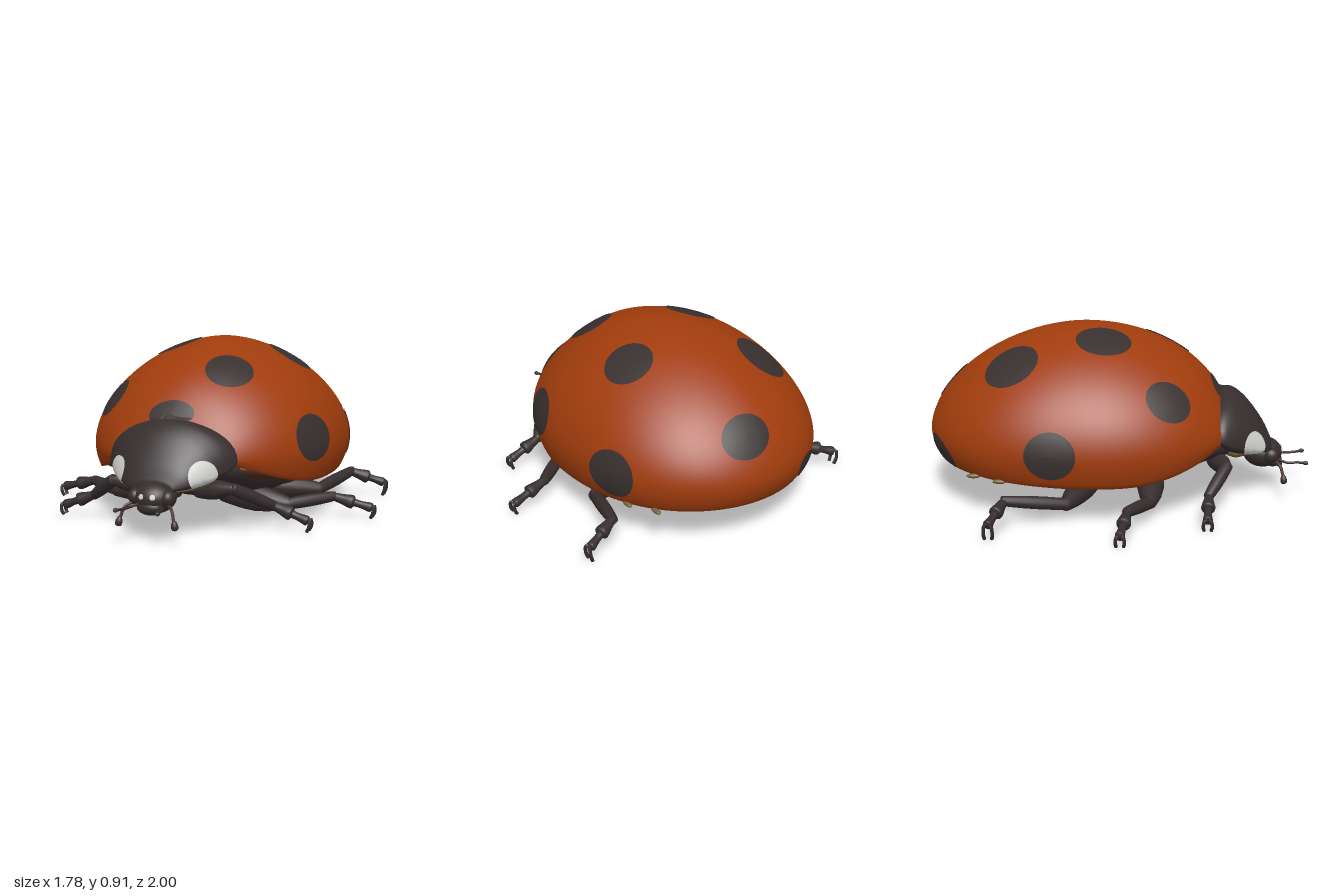
import * as THREE from 'three';

const V = (x, y, z) => new THREE.Vector3(x, y, z);
const mat = (name, color, side = THREE.FrontSide) => {
  const m = new THREE.MeshStandardMaterial({ color, side });
  m.name = name;
  return m;
};

// Skin a list of equal-length rings, ordered from back to front
function skin(rings, closed) {
  const n = rings[0].length, pos = [], idx = [];
  rings.forEach(r => r.forEach(p => pos.push(p.x, p.y, p.z)));
  for (let i = 0; i < rings.length - 1; i++) {
    for (let j = 0; j < (closed ? n : n - 1); j++) {
      const a = i * n + j, b = i * n + (j + 1) % n;
      idx.push(a, b, a + n, b, b + n, a + n);
    }
  }
  const g = new THREE.BufferGeometry();
  g.setAttribute('position', new THREE.Float32BufferAttribute(pos, 3));
  g.setIndex(idx);
  g.computeVertexNormals();
  return g;
}

// Closed oval loft from [z, halfWidth, top, bottom] stations, smoothed along z;
// mid is the height fraction of the widest line
function loft(stations, steps = 0, mid = 0.5) {
  let s = stations;
  if (steps) {
    const a = new THREE.CatmullRomCurve3(s.map(q => V(q[0], q[1], q[2])));
    const b = new THREE.CatmullRomCurve3(s.map(q => V(q[0], q[1], q[3])));
    s = Array.from({ length: steps + 1 }, (_, i) => {
      const p = a.getPoint(i / steps), q = b.getPoint(i / steps);
      return [p.x, p.y, p.z, q.z];
    });
  }
  const oval = ([z, w, t, b], k = 1) => Array.from({ length: 40 }, (_, i) => {
    const a = i / 40 * Math.PI * 2, c = b + mid * (t - b), sin = Math.sin(a);
    return V(k * w * Math.cos(a), c + k * sin * (sin > 0 ? t - c : c - b), z);
  });
  return skin([oval(s[0], 0.001), ...s.map(q => oval(q)), oval(s[s.length - 1], 0.001)], true);
}

// Shell dimensions along z
const MID = 0.36;
const halfWidth = z => z < -0.15
  ? 0.66 * Math.sqrt(Math.max(0, 1 - Math.pow((-0.15 - z) / 0.85, 2.4)))
  : 0.66 * Math.sqrt(1 - ((z + 0.15) / 0.785) ** 2);
const crown = z => MID + 0.55 * (z < -0.18
  ? Math.pow(Math.max(0, 1 - Math.pow((-0.18 - z) / 0.82, 1.82)), 0.588)
  : Math.sqrt(1 - ((z + 0.18) / 0.76) ** 2));
const rim = z => 0.205 + 0.135 * Math.pow(Math.max(0, z) / 0.53, 2.2) + 0.025 * Math.max(0, -0.2 - z) / 0.8;

function shellGeometry() {
  const rings = [];
  for (let i = 0; i <= 80; i++) {
    const z = -1 + 1.53 * (1 - Math.cos(i / 80 * Math.PI / 2));
    const w = halfWidth(z), h = crown(z) - MID, ring = [];
    const side = (k, y, s) => ring.push(V(s * w * k, y, z < -0.2 ? -0.2 + (z + 0.2) * k : z));
    const wall = (q, s) => side(1 - 0.06 * q * q, MID - (MID - rim(z)) * q, s);
    side(0.85, rim(z) + 0.012, 1);
    for (let q = 6; q > 0; q--) wall(q / 6, 1);
    for (let j = 0; j <= 56; j++) {
      const a = j / 56 * Math.PI, c = Math.cos(a);
      ring.push(V(Math.sign(c) * w * Math.pow(Math.abs(c), 1.11), MID + h * Math.pow(Math.abs(Math.sin(a)), 1.11), z));
    }
    for (let q = 1; q <= 6; q++) wall(q / 6, -1);
    side(0.85, rim(z) + 0.012, -1);
    rings.push(ring);
  }
  return skin(rings, false);
}

// Thin oval patch projected onto a mesh, seen from an inner point
function patch(target, c, inner, rx, rz) {
  const cast = p => {
    const d = p.clone().sub(inner).normalize();
    const ray = new THREE.Raycaster(p.clone().addScaledVector(d, 0.5), d.clone().negate());
    const hit = ray.intersectObject(target)[0];
    return { p: (hit ? hit.point.clone() : p.clone()).addScaledVector(d, 0.005), n: hit ? hit.face.normal.clone() : d };
  };
  const { p, n } = cast(c);
  const v = V(0, 0, 1).addScaledVector(n, -n.z).normalize(), u = v.clone().cross(n);
  const rings = [];
  for (let i = 5; i >= 0; i--) {
    const k = Math.max(i / 5, 0.002);
    rings.push(Array.from({ length: 28 }, (_, j) => {
      const a = j / 28 * Math.PI * 2;
      return cast(p.clone().addScaledVector(u, k * rx * Math.cos(a)).addScaledVector(v, k * rz * Math.sin(a))).p;
    }));
  }
  return skin(rings, true);
}

// Rounded limb between two points with start, middle and end radius
function limb(a, b, r0, r1, r2) {
  const d = b.clone().sub(a), L = d.length();
  const prof = [[0, -r0 * 0.6], [r0 * 0.7, -r0 * 0.35], [r0, 0], [r1, L * 0.5], [r2, L], [r2 * 0.7, L + r2 * 0.35], [0, L + r2 * 0.6]];
  const curve = new THREE.SplineCurve(prof.map(q => new THREE.Vector2(...q)));
  const pts = curve.getPoints(18).map(q => new THREE.Vector2(Math.max(0, q.x), q.y));
  const g = new THREE.LatheGeometry(pts, 14);
  g.applyQuaternion(new THREE.Quaternion().setFromUnitVectors(V(0, 1, 0), d.normalize()));
  return g.translate(a.x, a.y, a.z);
}

export function createModel() {
  const model = new THREE.Group();
  model.name = 'ladybird';
  const orange = mat('shell orange', 0xa03c0c, THREE.DoubleSide);
  const spotBlack = mat('spot black', 0x38302f, THREE.DoubleSide);
  const dark = mat('body black', 0x362d2e);
  const brown = mat('under shell brown', 0x502c26);
  const white = mat('patch white', 0xd2d2d0, THREE.DoubleSide);
  const tan = mat('collar tan', 0x74613a);
  const add = (name, geo, m, parent = model) => {
    const mesh = new THREE.Mesh(geo, m);
    mesh.name = name;
    parent.add(mesh);
    return mesh;
  };
  const ball = (name, x, y, z, sx, sy, sz, m) =>
    add(name, new THREE.SphereGeometry(1, 28, 20).scale(sx, sy, sz).translate(x, y, z), m);

  // Wing cases and their spots
  const shell = add('shell', shellGeometry(), orange);
  [[0.085, 0.58, -0.9, 0.135, 0.112], [-0.325, 0.77, -0.545, 0.15, 0.15], [0.345, 0.81, -0.296, 0.13, 0.13],
    [-0.22, 0.87, -0.075, 0.13, 0.145], [-0.465, 0.615, 0.26, 0.115, 0.125], [0.195, 0.78, 0.255, 0.125, 0.135],
    [-0.02, 0.59, 0.525, 0.125, 0.075], [0.64, 0.375, -0.53, 0.128, 0.135], [0.6, 0.435, 0.13, 0.125, 0.145],
    [-0.645, 0.38, -0.32, 0.125, 0.13], [-0.33, 0.295, -0.91, 0.075, 0.13],
  ].forEach(([x, y, z, rx, rz]) =>
    add('spot', patch(shell, V(x, y, z), V(0, 0.34, z * 0.7), rx, rz), spotBlack));

  // Underside: brown margin, ribbed abdomen and chest
  add('underShell', loft(Array.from({ length: 41 }, (_, i) => {
    const z = -0.89 + (1 - Math.cos(i / 40 * Math.PI / 2)) * 1.31;
    const zs = z < -0.2 ? -0.2 + (z + 0.2) / 0.88 : z;
    return [z, halfWidth(zs) * 0.88, rim(z) + 0.05, rim(z) - 0.025];
  })), brown);
  const ribs = [];
  for (let i = 0; i < 7; i++) {
    const z0 = -0.82 + i * 0.12, low = 0.188 - i * 0.011;
    ribs.push([z0, halfWidth(z0) * 0.7, 0.28, low - 0.009], [z0 + 0.105, halfWidth(z0 + 0.105) * 0.74, 0.28, low - 0.002]);
  }
  add('abdomen', loft(ribs), dark);
  add('chest', loft([[-0.2, 0.3, 0.3, 0.15], [-0.08, 0.42, 0.32, 0.09], [0.1, 0.42, 0.34, 0.085],
    [0.3, 0.36, 0.38, 0.13], [0.45, 0.3, 0.4, 0.19], [0.58, 0.22, 0.4, 0.22]], 30), dark);

  // Neck shield with pale side patches
  const shield = add('neckShield', loft([[0.49, 0.32, 0.53, 0.32], [0.54, 0.335, 0.553, 0.285], [0.59, 0.315, 0.558, 0.25],
    [0.65, 0.275, 0.522, 0.235], [0.71, 0.225, 0.455, 0.23], [0.77, 0.165, 0.365, 0.235], [0.805, 0.1, 0.29, 0.24]], 36, 0.27), dark);
  for (const s of [1, -1])
    add('palePatch', patch(shield, V(s * 0.22, 0.31, 0.705), V(0, 0.318, 0.55), 0.08, 0.08), white);
  add('collar', loft([[0.56, 0.18, 0.32, 0.216], [0.61, 0.215, 0.32, 0.207], [0.67, 0.18, 0.32, 0.212]], 10), tan);

  // Small pale tabs along the rear shell rim
  for (const s of [1, -1])
    for (const z of [-0.58, -0.72])
      ball('rimTab', s * halfWidth(z) * 0.93, rim(z), z, 0.014, 0.012, 0.035, tan);

  // Head, eyes and forehead marks
  const head = ball('head', 0, 0.21, 0.765, 0.105, 0.08, 0.105, dark);
  ball('muzzle', 0, 0.17, 0.82, 0.07, 0.04, 0.05, dark);
  for (const s of [1, -1]) {
    ball('eye', s * 0.085, 0.215, 0.805, 0.036, 0.04, 0.042, dark);
    add('foreheadMark', patch(head, V(s * 0.027, 0.225, 0.86), V(0, 0.21, 0.765), 0.014, 0.014), white);

    // Antennae and feelers
    const stalk = new THREE.CatmullRomCurve3([V(s * 0.055, 0.185, 0.84), V(s * 0.085, 0.175, 0.89), V(s * 0.09, 0.178, 0.945), V(s * 0.105, 0.18, 0.985)]);
    add('antenna', new THREE.TubeGeometry(stalk, 16, 0.007, 8), dark);
    ball('antennaTip', s * 0.107, 0.18, 0.986, 0.011, 0.011, 0.014, dark);
    const feeler = new THREE.CatmullRomCurve3([V(s * 0.085, 0.19, 0.82), V(s * 0.12, 0.17, 0.85), V(s * 0.14, 0.11, 0.87)]);
    add('feeler', new THREE.TubeGeometry(feeler, 14, 0.008, 8), brown);
    add('feelerTip', limb(V(s * 0.14, 0.12, 0.868), V(s * 0.146, 0.085, 0.872), 0.01, 0.017, 0.016), dark);
  }

  // Legs: hip, knee, ankle, foot; each side's feet are posed a little differently
  const legs = [
    ['frontLeg', [0.12, 0.2, 0.5], [0.32, 0.23, 0.56], [0.47, 0.125, 0.385], [0.64, 0.06, 0.375], 0.05, 0.08],
    ['middleLeg', [0.14, 0.13, 0.17], [0.48, 0.09, 0.17], [0.67, 0.11, 0], [0.86, 0.06, -0.03], 0.07, 0.06],
    ['rearLeg', [0.14, 0.13, -0.12], [0.52, 0.09, -0.25], [0.62, 0.14, -0.55], [0.785, 0.08, -0.61], 0.07, 0],
  ];
  for (const s of [1, -1]) {
    for (const [name, h, k, a, f, r, shift] of legs) {
      const leg = new THREE.Group();
      leg.name = name;
      model.add(leg);
      const dz = s < 0 ? shift : 0;
      const P = (p, d) => V(s * p[0], p[1], p[2] + d);
      const hip = P(h, 0), knee = P(k, 0), ankle = P(a, dz), foot = P(f, dz);
      add('thigh', limb(hip, knee, r * 0.8, r, r * 0.5), dark, leg);
      add('shin', limb(knee, ankle, 0.03, 0.033, 0.026), dark, leg);
      const joint = ankle.clone().lerp(foot, 0.5);
      add('footBase', limb(ankle, joint, 0.02, 0.027, 0.036), dark, leg);
      add('footEnd', limb(joint, foot, 0.02, 0.019, 0.025), dark, leg);
      for (const c of [1, -1]) {
        const tip = new THREE.CatmullRomCurve3([foot.clone(), foot.clone().add(V(s * 0.018, 0.005, c * 0.014)),
          V(foot.x + s * 0.018, foot.y * 0.5, foot.z + c * 0.022), V(foot.x + s * 0.006, 0.008, foot.z + c * 0.018)]);
        add('claw', new THREE.TubeGeometry(tip, 10, 0.009, 7), dark, leg);
      }
    }
  }
  return model;
}
